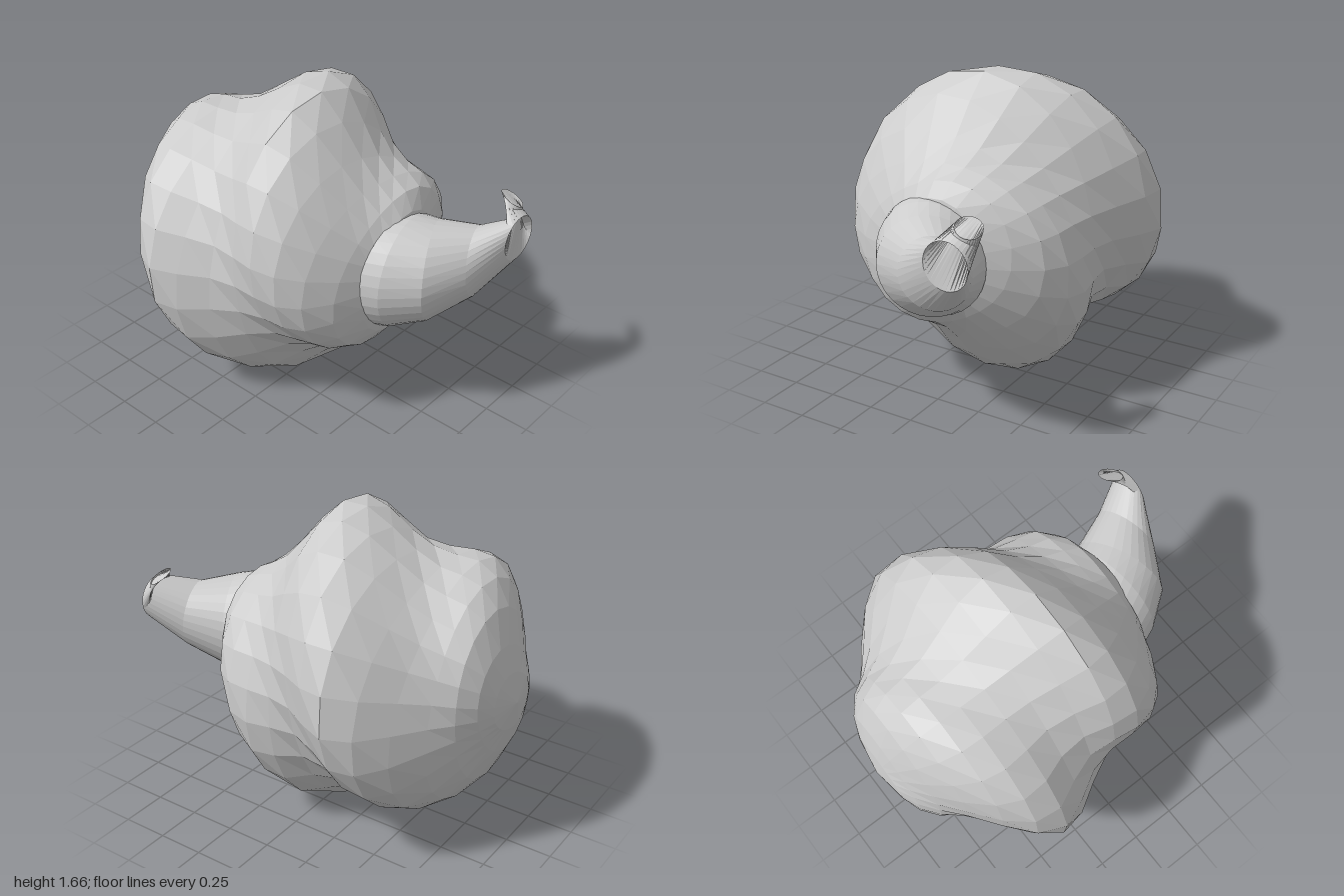
import * as THREE from 'three';

// Skin a list of closed rings (each an array of Vector3) with quads
function loft(rings) {
  const n = rings[0].length;
  const pos = rings.flat().flatMap((p) => [p.x, p.y, p.z]);
  const index = [];
  for (let i = 0; i < rings.length - 1; i++) {
    for (let j = 0; j < n; j++) {
      const k = (j + 1) % n;
      const a = i * n + j, b = i * n + k, c = b + n, d = a + n;
      index.push(a, b, c, a, c, d);
    }
  }
  const g = new THREE.BufferGeometry();
  g.setAttribute('position', new THREE.Float32BufferAttribute(pos, 3));
  g.setIndex(index);
  g.computeVertexNormals();
  return g;
}

export function createModel() {
  const model = new THREE.Group();
  const grey = new THREE.MeshStandardMaterial({ color: 0xcccccc, flatShading: true, side: THREE.DoubleSide });
  grey.name = 'pale grey';
  const midY = 0.835;

  // Body: round along z, with a two-start twisted bulge. Stations are [z, mean radius]
  const stations = [
    [-1, 0], [-0.97, 0.17], [-0.93, 0.285], [-0.86, 0.415], [-0.77, 0.515], [-0.66, 0.607],
    [-0.54, 0.685], [-0.4, 0.745], [-0.26, 0.76], [-0.11, 0.755], [0.035, 0.74], [0.17, 0.68],
    [0.3, 0.598], [0.41, 0.51], [0.5, 0.41], [0.56, 0.295], [0.6, 0.15], [0.62, 0],
  ];
  const sides = 24;
  const bodyRings = stations.map(([z, radius], i) => {
    const twist = (Math.PI * (i - 9.7)) / 3.25;
    return Array.from({ length: sides }, (_, j) => {
      const t = (j / sides) * Math.PI * 2;
      const r = radius * (1 + 0.125 * Math.cos(2 * t - Math.PI - twist));
      return new THREE.Vector3(r * Math.cos(t), midY + r * Math.sin(t), z);
    });
  });
  const body = new THREE.Mesh(loft(bodyRings), grey);
  body.name = 'body';
  model.add(body);

  // Stem: tapering tube that leans aside, then folds up and back at its open tip
  const stemStations = [
    { c: [0, midY, 0.54], r: 0.305, n: [0, 0, 1] },
    { c: [0.03, 0.838, 0.59], r: 0.3, n: [0.15, 0, 1] },
    { c: [0.1, 0.855, 0.7], r: 0.262, n: [0.4, 0.03, 0.92] },
    { c: [0.24, 0.91, 0.86], r: 0.183, n: [0.3, 0.1, 0.95] },
    { c: [0.39, 1.03, 0.998], r: 0.12, n: [0, 0, 1] },
    { c: [0.455, 1.195, 0.9], r: 0.066, n: [0.3, 0.75, 0.35] },
  ];
  const forward = new THREE.Vector3(0, 0, 1);
  const stemRings = stemStations.map(({ c, r, n }) => {
    const turn = new THREE.Quaternion().setFromUnitVectors(forward, new THREE.Vector3(...n).normalize());
    return Array.from({ length: 32 }, (_, j) => {
      const t = (j / 32) * Math.PI * 2;
      return new THREE.Vector3(r * Math.cos(t), r * Math.sin(t), 0)
        .applyQuaternion(turn).add(new THREE.Vector3(...c));
    });
  });
  const stem = new THREE.Mesh(loft(stemRings), grey);
  stem.name = 'stem';
  model.add(stem);

  return model;
}
